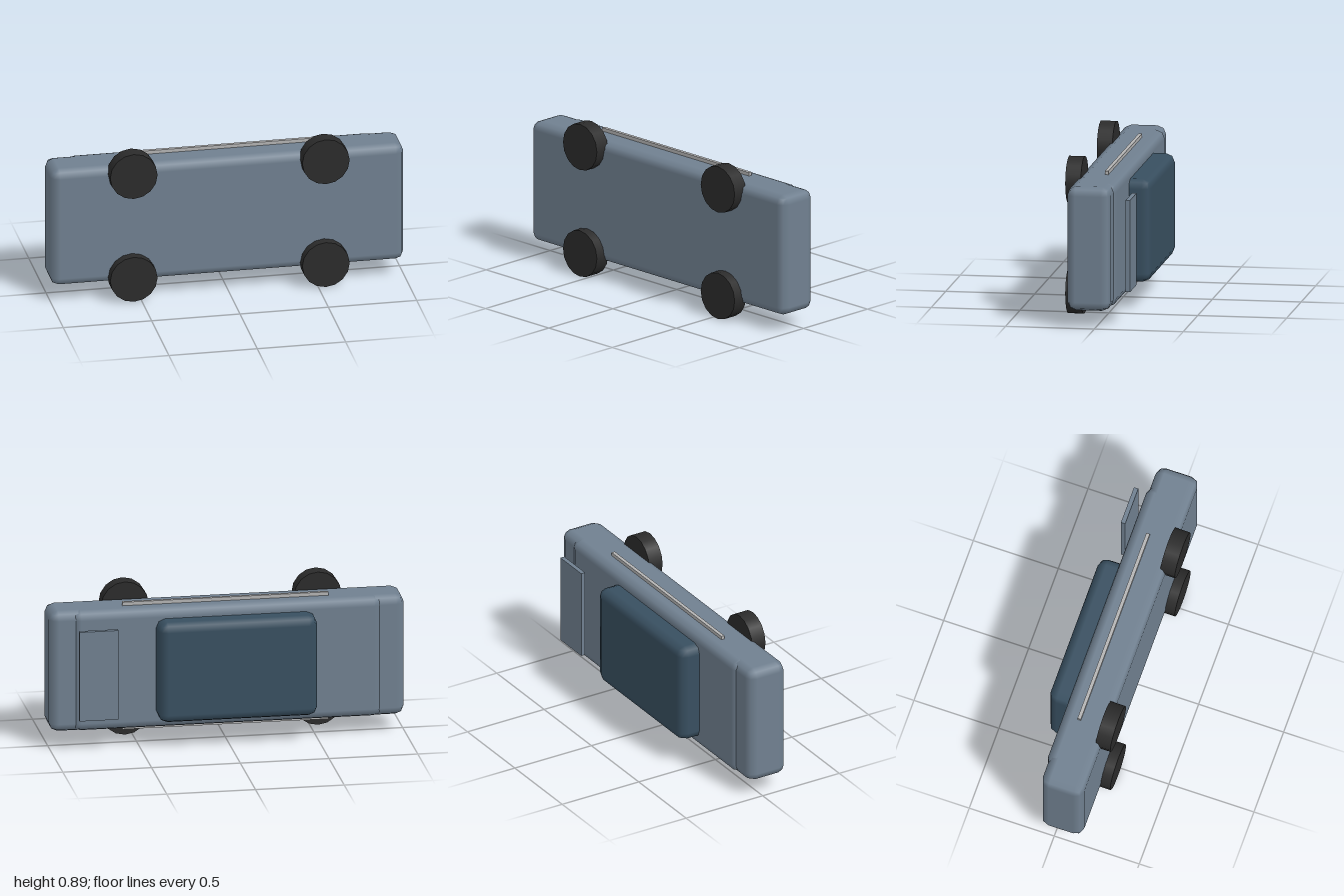
import * as THREE from 'three';
import { RoundedBoxGeometry } from 'three/addons/geometries/RoundedBoxGeometry.js';

function material(name, color) {
  const m = new THREE.MeshStandardMaterial({ color });
  m.name = name;
  return m;
}

export function createModel() {
  const paint = material('slate paint', 0x708090);
  const glass = material('dark blue glass', 0x384f60);
  const rubber = material('black rubber', 0x2b2b2b);
  const trim = material('grey trim', 0xb4b4b4);
  const car = new THREE.Group();
  car.name = 'car';

  // Adds a box spanning two corners, with bevelled edges if a radius is given
  function block(name, mat, min, max, radius = 0) {
    const size = max.map((v, i) => v - min[i]);
    const geometry = radius
      ? new RoundedBoxGeometry(...size, 1, radius)
      : new THREE.BoxGeometry(...size);
    const mesh = new THREE.Mesh(geometry, mat);
    mesh.name = name;
    mesh.position.set(...max.map((v, i) => (v + min[i]) / 2));
    car.add(mesh);
  }

  // The car rests on its side: roof towards -z, wheels towards +z
  block('body', paint, [-1, 0.095, -0.085], [1, 0.795, 0.16], 0.05);
  block('upperDeck', paint, [-0.875, 0.096, -0.097], [0.875, 0.794, 0.04], 0.05);
  block('cabin', glass, [-0.49, 0.155, -0.217], [0.405, 0.735, -0.02], 0.05);
  block('spoiler', paint, [0.63, 0.187, -0.177], [0.85, 0.705, -0.152]);

  // Trim strips along both flanks
  block('lowerSideTrim', trim, [-0.58, 0.076, -0.01], [0.58, 0.1, 0.01]);
  block('upperSideTrim', trim, [-0.58, 0.79, -0.01], [0.58, 0.815, 0.01]);

  // Four wheels
  const wheelGeometry = new THREE.CylinderGeometry(0.134, 0.134, 0.087, 16).rotateX(Math.PI / 2);
  for (const x of [-0.545, 0.542]) {
    for (const y of [0.134, 0.755]) {
      const wheel = new THREE.Mesh(wheelGeometry, rubber);
      wheel.name = 'wheel';
      wheel.position.set(x, y, 0.1735);
      car.add(wheel);
    }
  }
  return car;
}
